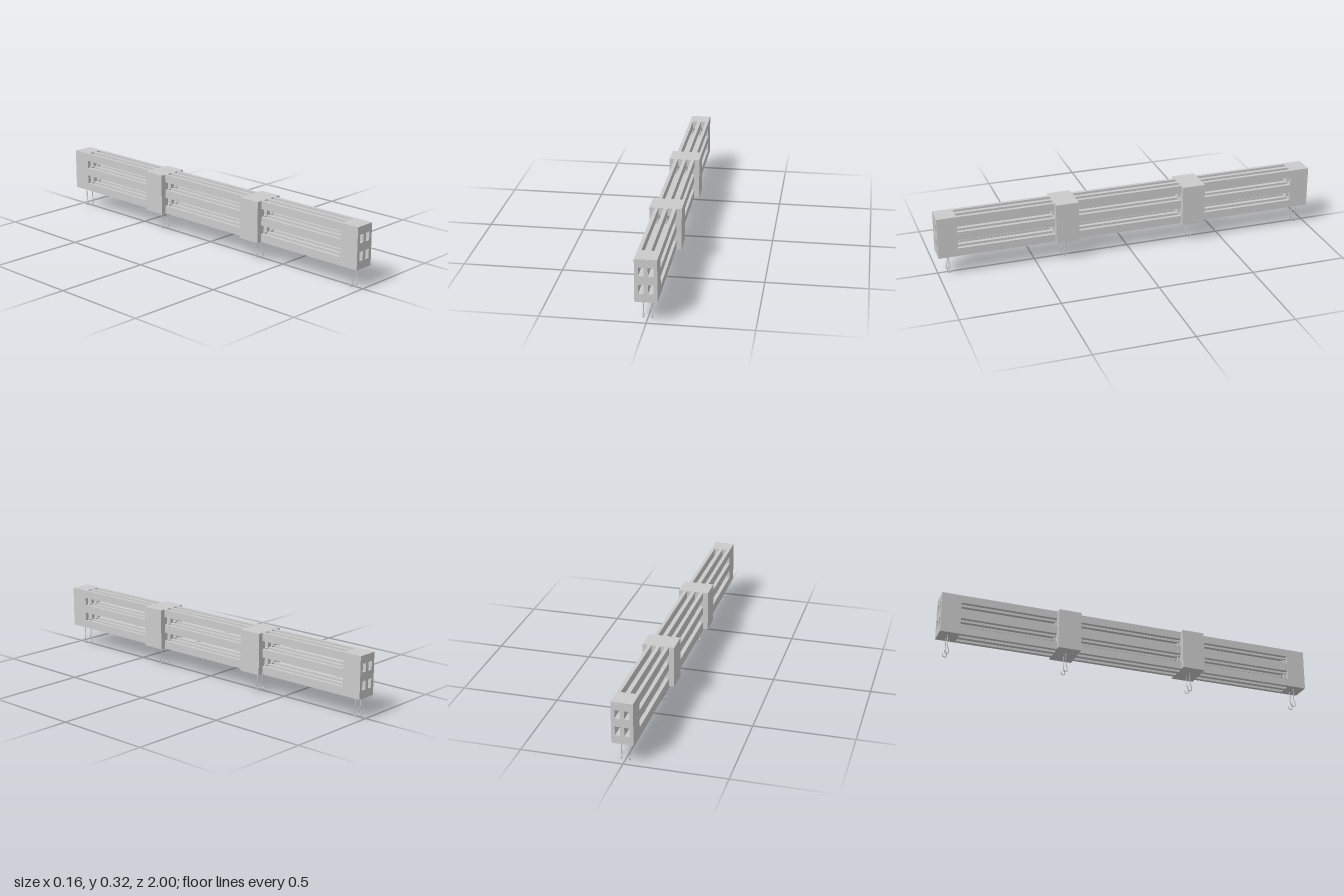
import * as THREE from 'three';

const material = new THREE.MeshStandardMaterial({ color: 0xcccccc });

// Bar columns and rows; the gaps between them are the tunnels
const COLS = [[-0.053, -0.035], [-0.01, 0.01], [0.035, 0.053]];
const ROWS = [[0.105, 0.147], [0.192, 0.235], [0.277, 0.318]];

function rectangle(PathType, x0, x1, y0, y1) {
  return new PathType([[x0, y0], [x1, y0], [x1, y1], [x0, y1]].map(([x, y]) => new THREE.Vector2(x, y)));
}

// Block pierced lengthwise by four rectangular tunnels
function piercedBlock(name, halfWidth, z0, z1) {
  const shape = rectangle(THREE.Shape, -halfWidth, halfWidth, 0.105, 0.318);
  for (let c = 0; c < 2; c++) {
    for (let r = 0; r < 2; r++) {
      shape.holes.push(rectangle(THREE.Path, COLS[c][1], COLS[c + 1][0], ROWS[r][1], ROWS[r + 1][0]));
    }
  }
  const geometry = new THREE.ExtrudeGeometry(shape, { depth: z1 - z0, bevelEnabled: false });
  geometry.translate(0, 0, z0);
  const mesh = new THREE.Mesh(geometry, material);
  mesh.name = name;
  return mesh;
}

// Thin wire hook hanging below a block, tip curling towards -z
function hook(x, z) {
  const points = [
    [0.12, 0], [0.07, 0], [0.05, 0], [0.035, 0.004], [0.02, 0.008],
    [0.008, 0.007], [0.0023, -0.001], [0.007, -0.009], [0.018, -0.012],
  ].map(([y, dz]) => new THREE.Vector3(x, y, z + dz));
  const curve = new THREE.CatmullRomCurve3(points);
  const group = new THREE.Group();
  group.name = 'hook';
  const wire = new THREE.Mesh(new THREE.TubeGeometry(curve, 36, 0.0023, 10), material);
  wire.name = 'hookWire';
  const tip = new THREE.Mesh(new THREE.SphereGeometry(0.0023, 10, 6), material);
  tip.name = 'hookTip';
  tip.position.copy(points[points.length - 1]);
  group.add(wire, tip);
  return group;
}

export function createModel() {
  const model = new THREE.Group();
  model.name = 'slottedBeam';

  // End blocks and wider collars
  model.add(
    piercedBlock('frontEndBlock', 0.053, 0.9, 1),
    piercedBlock('frontCollar', 0.08, 0.28, 0.4),
    piercedBlock('backCollar', 0.08, -0.4, -0.28),
    piercedBlock('backEndBlock', 0.053, -1, -0.9),
  );

  // Nine long bars spanning each gap between blocks
  for (const [z0, z1] of [[-0.9, -0.4], [-0.28, 0.28], [0.4, 0.9]]) {
    for (const [x0, x1] of COLS) {
      for (const [y0, y1] of ROWS) {
        const bar = new THREE.Mesh(new THREE.BoxGeometry(x1 - x0, y1 - y0, z1 - z0), material);
        bar.name = 'bar';
        bar.position.set((x0 + x1) / 2, (y0 + y1) / 2, (z0 + z1) / 2);
        model.add(bar);
      }
    }
  }

  // A pair of hooks under every block
  for (const z of [0.945, 0.341, -0.341, -0.953]) {
    for (const x of [-0.021, 0.02]) model.add(hook(x, z));
  }
  return model;
}
